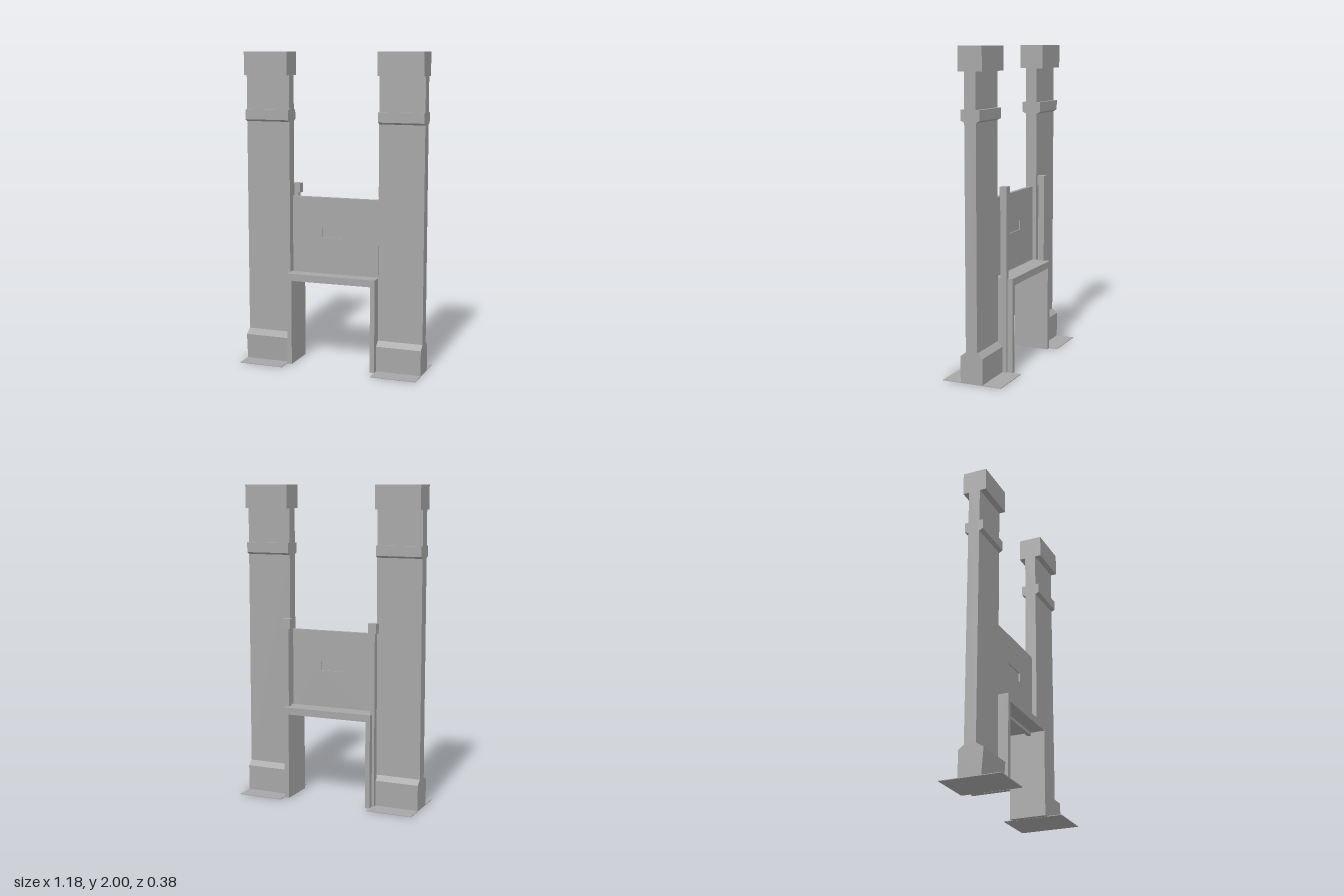
import * as THREE from 'three';

const stone = new THREE.MeshStandardMaterial({ color: 0xa6a6a6 });
stone.name = 'stone grey';

function add(parent, geometry, name) {
  const mesh = new THREE.Mesh(geometry, stone);
  mesh.name = name;
  parent.add(mesh);
  return mesh;
}

// box given by its min and max on each axis
function block(parent, name, [x0, x1], [y0, y1], [z0, z1]) {
  const g = new THREE.BoxGeometry(x1 - x0, y1 - y0, z1 - z0);
  g.translate((x0 + x1) / 2, (y0 + y1) / 2, (z0 + z1) / 2);
  return add(parent, g, name);
}

function polygon(points) {
  return new THREE.Shape(points.map(([a, b]) => new THREE.Vector2(a, b)));
}

function extrude(shape, depth) {
  return new THREE.ExtrudeGeometry(shape, { depth, bevelEnabled: false });
}

// outline of one column seen from the side: foot, shaft, band and cap
function columnShape(frontFoot) {
  const half = (foot) => [
    [0.072, 0], [foot, 0.165], [0.037, 0.195], [0.037, 1.56],
    [0.061, 1.572], [0.061, 1.635], [0.037, 1.635], [0.037, 1.853],
    [0.077, 1.853], [0.077, 2],
  ];
  const back = half(0.072).map(([z, y]) => [-z, y]).reverse();
  return polygon([...half(frontFoot), ...back]);
}

export function createModel() {
  const model = new THREE.Group();
  model.name = 'gate';

  for (const side of [-1, 1]) {
    const name = side > 0 ? 'left' : 'right';
    const span = (a, b) => (side > 0 ? [a, b] : [-b, -a]);

    // tall column, profile swept across its width
    const [x0, x1] = span(0.298, 0.59);
    const column = extrude(columnShape(side > 0 ? 0.074 : 0.085), x1 - x0);
    column.rotateY(-Math.PI / 2);
    column.translate(x1, 0, 0);
    add(model, column, name + 'Column');

    // thin ground plate
    block(model, name + 'GroundPlate', [x0, x1], [0, 0.004], [-0.192, 0.192]);

    // guide rail behind the column, with a square cap
    block(model, name + 'GuideRail', span(0.28, 0.31), [0, 1.1], [-0.1, -0.06]);
    block(model, name + 'RailCap', span(0.266, 0.32), [1.098, 1.16], [-0.105, -0.06]);
  }

  // frame of two legs and a lintel
  const frame = extrude(polygon([
    [-0.295, 0], [-0.265, 0], [-0.265, 0.55], [0.265, 0.55],
    [0.265, 0], [0.295, 0], [0.295, 0.595], [-0.295, 0.595],
  ]), 0.237);
  frame.translate(0, 0, -0.136);
  add(model, frame, 'doorFrame');

  // sliding panel: a thin core with a pierced facing on each side
  block(model, 'panelCore', [-0.288, 0.288], [0.53, 1.086], [-0.007, 0.002]);
  const facing = polygon([[-0.288, 0.53], [0.288, 0.53], [0.288, 1.086], [-0.288, 1.086]]);
  facing.holes.push(polygon([[-0.088, 0.83], [-0.088, 0.89], [0.088, 0.89], [0.088, 0.83]]));
  for (const [name, z] of [['panelFront', 0.002], ['panelBack', -0.015]]) {
    add(model, extrude(facing, 0.008), name).position.z = z;
  }

  return model;
}
